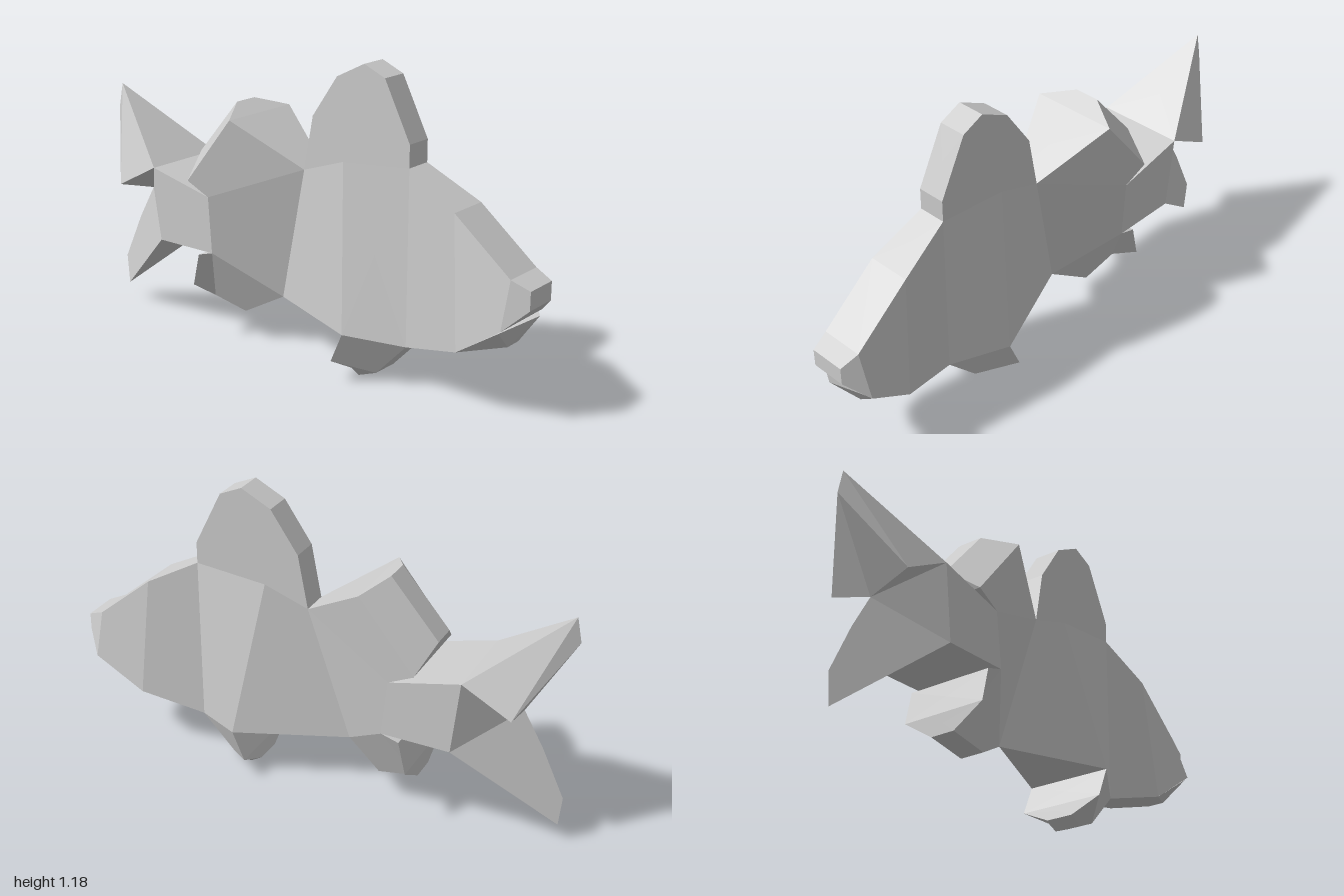
import * as THREE from 'three';

const material = new THREE.MeshStandardMaterial({ color: 0xcccccc, side: THREE.DoubleSide });

// Builds a part symmetric in z. Points are [x, y, half width].
// sides: polygons on the +z side (mirrored to -z), each shaded as one facet;
// rims: point runs, counter-clockwise from the front, bridged straight from +z to -z.
function mirroredPart(name, sides, rims) {
  const pos = [], norm = [];
  const flip = ([x, y, z]) => [x, y, -z];

  // One facet, fanned from its middle so that slightly bent ones stay even
  const facet = (poly) => {
    const mid = [0, 1, 2].map((k) => poly.reduce((sum, p) => sum + p[k], 0) / poly.length);
    const centre = new THREE.Vector3(...mid), normal = new THREE.Vector3();
    poly.forEach((p, i) => {
      const q = poly[(i + 1) % poly.length];
      const u = new THREE.Vector3(...p).sub(centre);
      const v = new THREE.Vector3(...q).sub(centre);
      normal.add(u.cross(v));
      pos.push(...mid, ...p, ...q);
    });
    normal.normalize();
    for (let i = 0; i < poly.length * 3; i++) norm.push(normal.x, normal.y, normal.z);
  };

  for (const side of sides) {
    const area = side.reduce((sum, p, i) => {
      const q = side[(i + 1) % side.length];
      return sum + p[0] * q[1] - q[0] * p[1];
    }, 0);
    const poly = area < 0 ? [...side].reverse() : side;
    facet(poly);
    facet(poly.map(flip).reverse());
  }
  for (const rim of rims) {
    for (let i = 0; i < rim.length - 1; i++) {
      const a = rim[i], b = rim[i + 1];
      const strip = [a];
      if (a[2] > 0) strip.push(flip(a));
      if (b[2] > 0) strip.push(flip(b));
      strip.push(b);
      if (strip.length > 2) facet(strip);
    }
  }
  const geometry = new THREE.BufferGeometry();
  geometry.setAttribute('position', new THREE.Float32BufferAttribute(pos, 3));
  geometry.setAttribute('normal', new THREE.Float32BufferAttribute(norm, 3));
  const mesh = new THREE.Mesh(geometry, material);
  mesh.name = name;
  return mesh;
}

export function createModel() {
  const group = new THREE.Group();
  group.name = 'fish';

  // Body stations from tail root to nose, each a top and a bottom point
  const stations = [
    [[-0.64, 0.67, 0.175], [-0.61, 0.38, 0.175]],
    [[-0.36, 0.6, 0.17], [-0.34, 0.38, 0.175]],
    [[0.02, 0.75, 0.055], [-0.13, 0.2, 0]],
    [[0.2, 0.81, 0.055], [0.29, 0.2, 0.175]],
    [[0.49, 0.835, 0.055], [0.49, 0.165, 0.055]],
    [[0.7, 0.72, 0.085], [0.74, 0.23, 0.115]],
    [[0.93, 0.53, 0.085], [0.93, 0.36, 0.14]],
    [[1, 0.5, 0.07], [1, 0.43, 0.07]],
  ];
  const tops = stations.map((s) => s[0]);
  const bottoms = stations.map((s) => s[1]);
  const flanks = [];
  for (let i = 0; i < stations.length - 1; i++) {
    flanks.push([tops[i], bottoms[i], bottoms[i + 1], tops[i + 1]]);
  }
  group.add(mirroredPart('body', flanks, [[...bottoms, ...[...tops].reverse()]]));

  // Lower jaw, tucked under the open mouth
  const jawRoot = bottoms[5], chin = [0.9, 0.265, 0.035], lip = [1, 0.394, 0], cheek = [0.92, 0.35, 0.135];
  group.add(mirroredPart('lowerJaw', [[jawRoot, chin, cheek], [chin, lip, cheek]], [[jawRoot, chin, lip, cheek]]));

  // Tall front dorsal fin, a flat slab
  const crest = [
    [0.29, 1.18], [0.17, 1.12], [0.06, 0.96], [0.02, 0.75], [0.2, 0.81], [0.49, 0.835], [0.49, 0.92], [0.38, 1.14],
  ].map(([x, y]) => [x, y, 0.055]);
  group.add(mirroredPart('frontDorsalFin', [crest], [[crest[5], crest[6], crest[7], ...crest.slice(0, 4)]]));

  // Rear dorsal fin, flaring outwards with a bevelled top
  const dA = tops[2], dB = tops[1];
  const dC = [-0.24, 0.92, 0.175], dD = [-0.46, 0.65, 0.175], dE = [-0.31, 0.96, 0.05], dF = [-0.5, 0.74, 0.05];
  group.add(mirroredPart('rearDorsalFin', [[dA, dC, dD, dB], [dC, dE, dF, dD]], [[dA, dC, dE, dF, dD, dB]]));

  // Anal fin
  const aA = bottoms[2], aB = bottoms[1];
  const aC = [-0.41, 0.36, 0.175], aD = [-0.44, 0.23, 0.175], aE = [-0.44, 0.15, 0.05], aF = [-0.28, 0.12, 0.05];
  group.add(mirroredPart('analFin', [[aB, aC, aD, aE], [aB, aE, aF, aA]], [[aB, aC, aD, aE, aF, aA]]));

  // Pelvic fin
  const pA = bottoms[3], pB = bottoms[4];
  const pC = [0.24, 0.085, 0.175], pD = [0.36, 0.03, 0.055], pE = [0.28, 0, 0.055], pF = [0.23, 0.03, 0.055];
  group.add(mirroredPart('pelvicFin', [[pA, pC, pD, pB], [pC, pF, pE, pD]], [[pA, pC, pF, pE, pD, pB]]));

  // Tail fin: a wide root tapering to thin edges, the upper lobe overhanging the lower
  const root = tops[0], base = bottoms[0], fork = [-0.83, 0.57, 0.175], notch = [-0.82, 0.52, 0];
  const upTip = [-0.98, 0.935, 0], upBack = [-1, 0.84, 0];
  const lowTip = [-0.98, 0.07, 0], lowBack = [-0.99, 0.19, 0], lowInner = [-0.9, 0.38, 0];
  group.add(mirroredPart('tailFin', [
    [root, upTip, fork], [fork, upTip, upBack], [fork, upBack, notch], [root, fork, notch],
    [root, notch, base], [base, notch, lowInner, lowBack, lowTip],
  ], [[root, upTip], [lowTip, base]]));

  return group;
}
